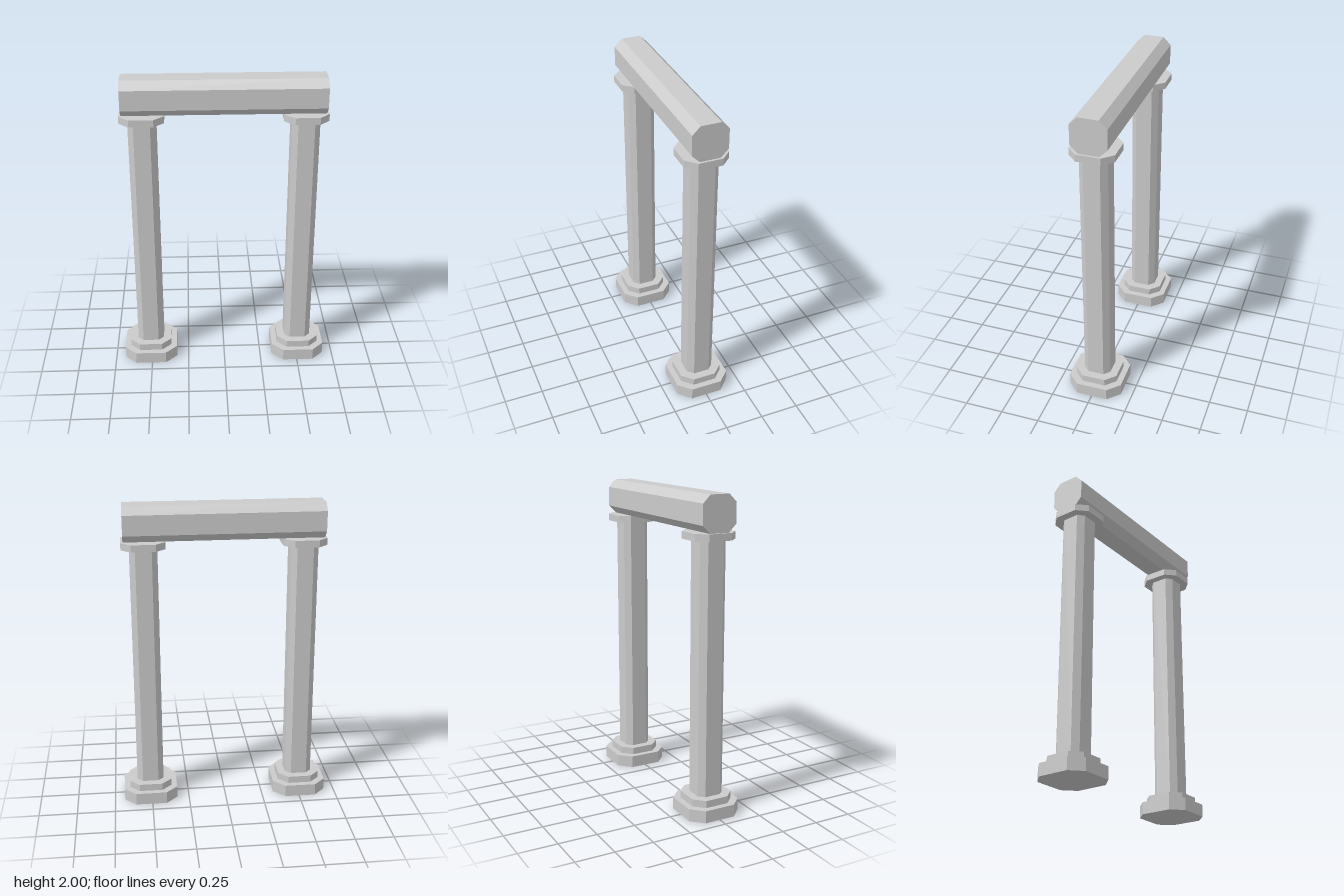
import * as THREE from 'three';

const material = new THREE.MeshStandardMaterial({ color: 0xcccccc, flatShading: true });

// Square bar with chamfered corners, centred on its own axis (z)
function octagonBar(half, flat, length) {
  const shape = new THREE.Shape([
    [half, -flat], [half, flat], [flat, half], [-flat, half],
    [-half, flat], [-half, -flat], [-flat, -half], [flat, -half],
  ].map(([x, y]) => new THREE.Vector2(x, y)));
  const geometry = new THREE.ExtrudeGeometry(shape, { depth: length, bevelEnabled: false });
  return geometry.translate(0, 0, -length / 2);
}

// Stacked column layers: name, half width, half flat side, bottom, top
const layers = [
  ['plinth', 0.177, 0.102, 0, 0.08],
  ['baseMoulding', 0.139, 0.076, 0.08, 0.127],
  ['shaft', 0.088, 0.052, 0.127, 1.73],
  ['capital', 0.139, 0.076, 1.73, 1.775],
];

function createColumn() {
  const column = new THREE.Group();
  for (const [name, half, flat, bottom, top] of layers) {
    const geometry = octagonBar(half, flat, top - bottom).rotateX(-Math.PI / 2);
    const mesh = new THREE.Mesh(geometry, material);
    mesh.name = name;
    mesh.position.y = (bottom + top) / 2;
    column.add(mesh);
  }
  return column;
}

export function createModel() {
  const model = new THREE.Group();
  model.name = 'columnGateway';

  // Two matching columns
  for (const side of [1, -1]) {
    const column = createColumn();
    column.name = side > 0 ? 'leftColumn' : 'rightColumn';
    column.position.x = side * 0.507;
    model.add(column);
  }

  // Lintel across the capitals
  const lintel = new THREE.Mesh(octagonBar(0.1125, 0.0635, 1.264).rotateY(Math.PI / 2), material);
  lintel.name = 'lintel';
  lintel.position.y = 1.8875;
  model.add(lintel);

  return model;
}
